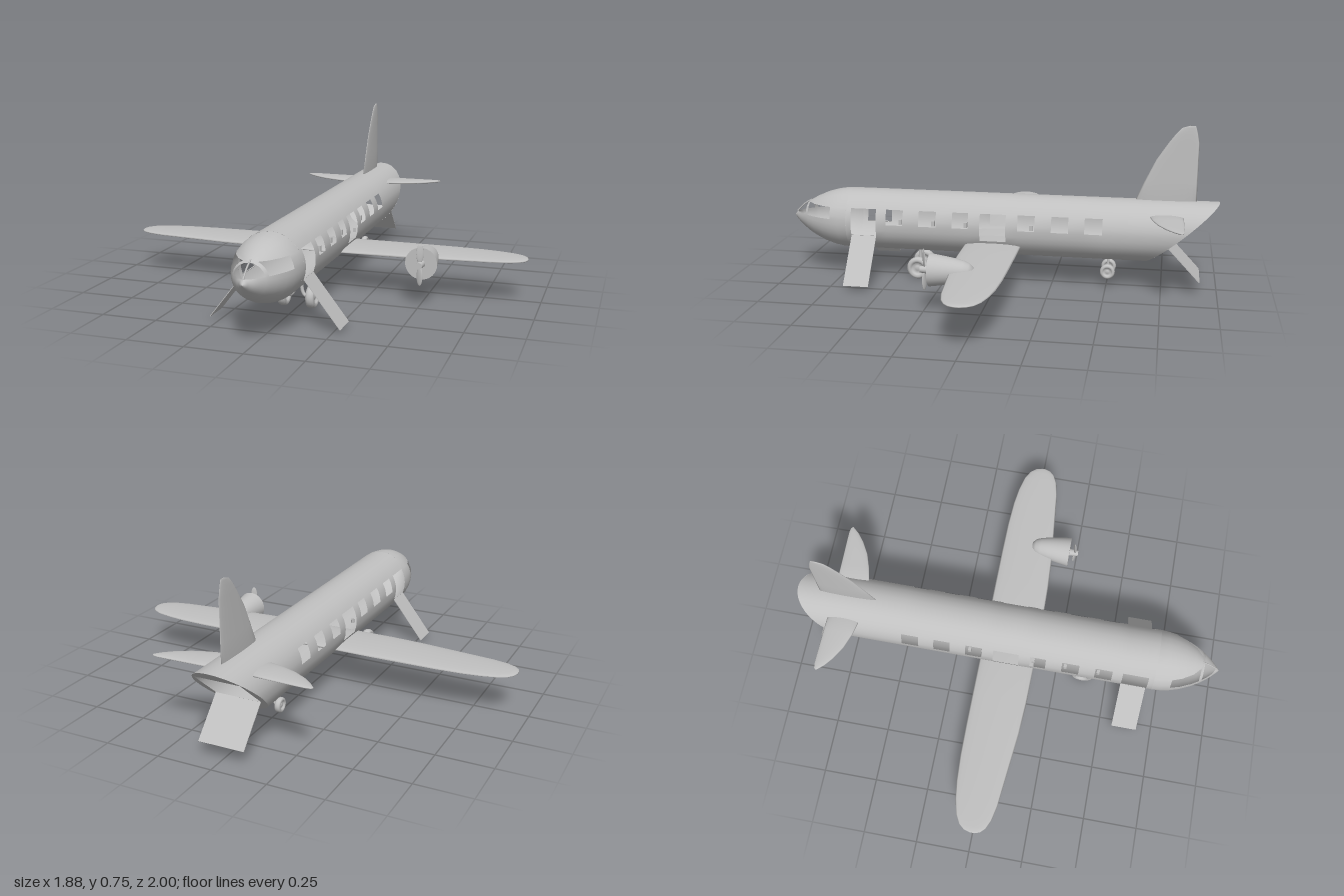
import * as THREE from 'three';

const grey = new THREE.MeshStandardMaterial({ color: 0xc0c0c0, side: THREE.DoubleSide });
grey.name = 'light grey';

const CY = 0.271, R = 0.142; // fuselage axis height and radius

export function createModel() {
  const model = new THREE.Group();
  model.name = 'aeroplane';

  function add(name, geometry, x = 0, y = 0, z = 0, parent = model) {
    const mesh = new THREE.Mesh(geometry, grey);
    mesh.name = name;
    mesh.position.set(x, y, z);
    parent.add(mesh);
    return mesh;
  }

  // Skin over closed rings of points; cells where hole(i, j) is true stay open
  function loft(rings, hole = () => false) {
    const n = rings[0].length, index = [];
    for (let i = 0; i < rings.length - 1; i++) {
      for (let j = 0; j < n; j++) {
        if (hole(i, j)) continue;
        const k = (j + 1) % n;
        const a = i * n + j, b = i * n + k, c = b + n, d = a + n;
        index.push(a, d, c, a, c, b);
      }
    }
    const g = new THREE.BufferGeometry();
    g.setAttribute('position', new THREE.Float32BufferAttribute(rings.flat(2), 3));
    g.setIndex(index);
    g.computeVertexNormals();
    return g;
  }

  // Full fuselage ring from the angles of one half, bottom to top
  function ring(angles, r, zOf) {
    const half = angles.map(a => {
      const y = CY + r * Math.sin(a);
      return [r * Math.cos(a), y, zOf(y)];
    });
    const other = half.slice(1, -1).reverse().map(([x, y, z]) => [-x, y, z]);
    return [...half, ...other];
  }
  const column = (j, m) => (j < m ? j : 2 * m - 1 - j);

  // Cabin tube with windows, doors and a slanted tail cut
  const rad = Math.PI / 180;
  const angleAt = y => Math.asin((y - CY) / R);
  const angles = [-90, -78, -66, -54, -42, -31].map(d => d * rad).concat(
    angleAt(0.22), -10 * rad, angleAt(0.276), 11 * rad, 21 * rad, angleAt(0.345),
    [43, 55, 67, 78, 90].map(d => d * rad));
  const doors = [[0.68, 0.56], [0.072, -0.048]];
  const windows = [[0.512, 0.432], [0.357, 0.276], [0.2, 0.126],
    [-0.102, -0.18], [-0.255, -0.332], [-0.405, -0.485]];
  const stations = [0.705, ...[...doors, ...windows].flat().sort((a, b) => b - a)];
  const rings = stations.map(z => ring(angles, R, () => z));
  rings.push(ring(angles, R, y => -0.668 - (y - 0.129) / 0.284 * 0.33));
  const inside = (list, z) => list.some(([front, back]) => z < front && z > back);
  add('cabin', loft(rings, (i, j) => {
    if (i >= stations.length - 1) return false;
    const c = column(j, angles.length - 1), z = (stations[i] + stations[i + 1]) / 2;
    return c < 11 && ((c >= 6 && inside(doors, z)) || (c >= 8 && inside(windows, z)));
  }));

  // Nose with wrap-around cockpit openings
  const noseZ = [1, 0.998, 0.993, 0.985, 0.97, 0.95, 0.925, 0.912, 0.88, 0.83, 0.785, 0.745, 0.705];
  const spread = (a, b, n) => Array.from({ length: n }, (_, i) => a + (b - a) * i / n);
  const noseRings = noseZ.map(z => {
    const t = (z - 0.705) / 0.295;
    const r = Math.max(1e-4, R * Math.pow(Math.max(0, 1 - t * t), 0.88));
    const sill = Math.asin(Math.min(1, 0.019 / r)), head = Math.asin(Math.min(1, 0.072 / r));
    const top = Math.PI / 2;
    return ring([...spread(-top, sill, 10), ...spread(sill, head, 4), ...spread(head, top, 4), top], r, () => z);
  });
  add('nose', loft(noseRings, (i, j) => {
    const c = column(j, 18), z = (noseZ[i] + noseZ[i + 1]) / 2;
    return c >= 10 && c < 14 && z > 0.785 && (z < 0.912 || z > 0.925);
  }));
  const post = new THREE.CatmullRomCurve3([[0.349, 0.912], [0.326, 0.95], [0.29, 0.988]]
    .map(([y, z]) => new THREE.Vector3(0, y, z)));
  add('windshieldPost', new THREE.TubeGeometry(post, 8, 0.004, 6));

  // Slanted tail bulkhead with the ramp opening
  const tail = new THREE.Shape().absellipse(0, 0, R, 0.2177, 0, Math.PI * 2);
  tail.holes.push(new THREE.Path([[-0.105, -0.078], [0.105, -0.078], [0.105, 0.133], [-0.105, 0.133]]
    .map(([x, y]) => new THREE.Vector2(x, y))));
  add('tailBulkhead', new THREE.ShapeGeometry(tail, 32), 0, CY, -0.833).rotation.x = -0.86;
  add('tailRamp', new THREE.BoxGeometry(0.21, 0.212, 0.004), 0, 0.143, -0.848).rotation.x = 0.752;

  // Lens-section surface; stations are [span, front, back, half thickness]
  function foil(list) {
    const N = 20;
    const section = ([s, f, b, t]) => Array.from({ length: N }, (_, k) => {
      const a = k / N * Math.PI * 2;
      return [s, t * Math.sin(a), (f + b) / 2 + (f - b) / 2 * Math.cos(a)];
    });
    const end = ([s, f, b]) => section([s, (f + b) / 2, (f + b) / 2, 0]);
    return loft([end(list[0]), ...list.map(section), end(list[list.length - 1])]);
  }
  const wing = foil([[0, 0.145, -0.115, 0.014], [0.3, 0.143, -0.115, 0.014], [0.45, 0.135, -0.115, 0.013],
    [0.6, 0.12, -0.113, 0.012], [0.72, 0.108, -0.106, 0.011], [0.8, 0.1, -0.095, 0.01],
    [0.87, 0.085, -0.077, 0.009], [0.91, 0.066, -0.055, 0.008], [0.93, 0.045, -0.03, 0.006],
    [0.938, 0.022, -0.002, 0.003]]);
  const stabilizer = foil([[0.1, -0.69, -0.84, 0.01], [0.17, -0.705, -0.841, 0.01], [0.24, -0.73, -0.842, 0.009],
    [0.3, -0.765, -0.843, 0.008], [0.34, -0.797, -0.843, 0.006], [0.36, -0.82, -0.839, 0.004],
    [0.367, -0.828, -0.832, 0.002]]);
  const fin = foil([[0.4, -0.617, -0.895, 0.007], [0.5, -0.662, -0.895, 0.007], [0.6, -0.71, -0.895, 0.006],
    [0.68, -0.763, -0.895, 0.006], [0.72, -0.793, -0.887, 0.005], [0.746, -0.818, -0.88, 0.004],
    [0.756, -0.85, -0.876, 0.002]]).rotateZ(Math.PI / 2);
  add('tailFin', fin);

  // Wheel turned about x: rounded tyre with a recessed rim and hub
  function wheel(r, w) {
    const half = [[0, 0.3], [0.2, 0.3], [0.25, 0.2], [0.5, 0.2], [0.55, 0.42], [0.75, 0.5], [0.92, 0.4], [1, 0.15]];
    const profile = [...half.map(([a, b]) => [a, -b]), ...half.slice().reverse()];
    return new THREE.LatheGeometry(profile.map(([a, b]) => new THREE.Vector2(a * r, b * w)), 28)
      .rotateZ(Math.PI / 2);
  }

  for (const s of [1, -1]) {
    const side = s > 0 ? 'left' : 'right';
    add(side + 'Wing', wing, 0, 0.195, 0).scale.x = s;
    add(side + 'Stabilizer', stabilizer, 0, 0.36, 0).scale.x = s;
    // Lowered front door
    add(side + 'Door', new THREE.BoxGeometry(0.003, 0.253, 0.118), s * 0.207, 0.12, 0.62).rotation.z = s * 0.66;
    // Small fittings behind the windows
    for (const z of [0.447, 0.292, 0.14, -0.162]) {
      add(side + 'WindowFitting', new THREE.BoxGeometry(0.016, 0.024, 0.014), s * 0.118, 0.288, z);
    }
    // Main and rear wheels on bent struts
    for (const [name, x, y, z, r, w] of [['Main', 0.065, 0.054, 0.38, 0.052, 0.04], ['Rear', 0.045, 0.077, -0.507, 0.034, 0.028]]) {
      add(side + name + 'Wheel', wheel(r, w), s * x, y, z);
      const bend = new THREE.CatmullRomCurve3([[x, y], [x * 0.5, y], [x * 0.3, y + 0.02], [x * 0.25, 0.15]]
        .map(([px, py]) => new THREE.Vector3(s * px, py, z)));
      add(side + name + 'Strut', new THREE.TubeGeometry(bend, 16, r * 0.15, 10));
    }
  }

  // Single engine under the left wing
  const engine = new THREE.Group();
  engine.name = 'engine';
  engine.position.set(0.505, 0.194, 0);
  model.add(engine);
  const cowl = [[0, 0.025], [0.02, 0.029], [0.036, 0.045], [0.046, 0.07], [0.055, 0.11], [0.063, 0.16], [0.071, 0.215]];
  add('cowling', new THREE.LatheGeometry(cowl.map(p => new THREE.Vector2(...p)), 32).rotateX(Math.PI / 2), 0, 0, 0, engine);
  add('cowlingFront', new THREE.CircleGeometry(0.071, 32), 0, 0, 0.215, engine);
  add('propellerHub', new THREE.CylinderGeometry(0.014, 0.018, 0.045, 20).rotateX(Math.PI / 2), 0, 0, 0.235, engine);
  for (const s of [1, -1]) {
    const blade = add('propellerBlade', new THREE.SphereGeometry(1, 16, 12), 0, s * 0.05, 0.24, engine);
    blade.scale.set(0.016, 0.043, 0.005);
    blade.rotation.y = s * 0.4;
  }
  return model;
}
